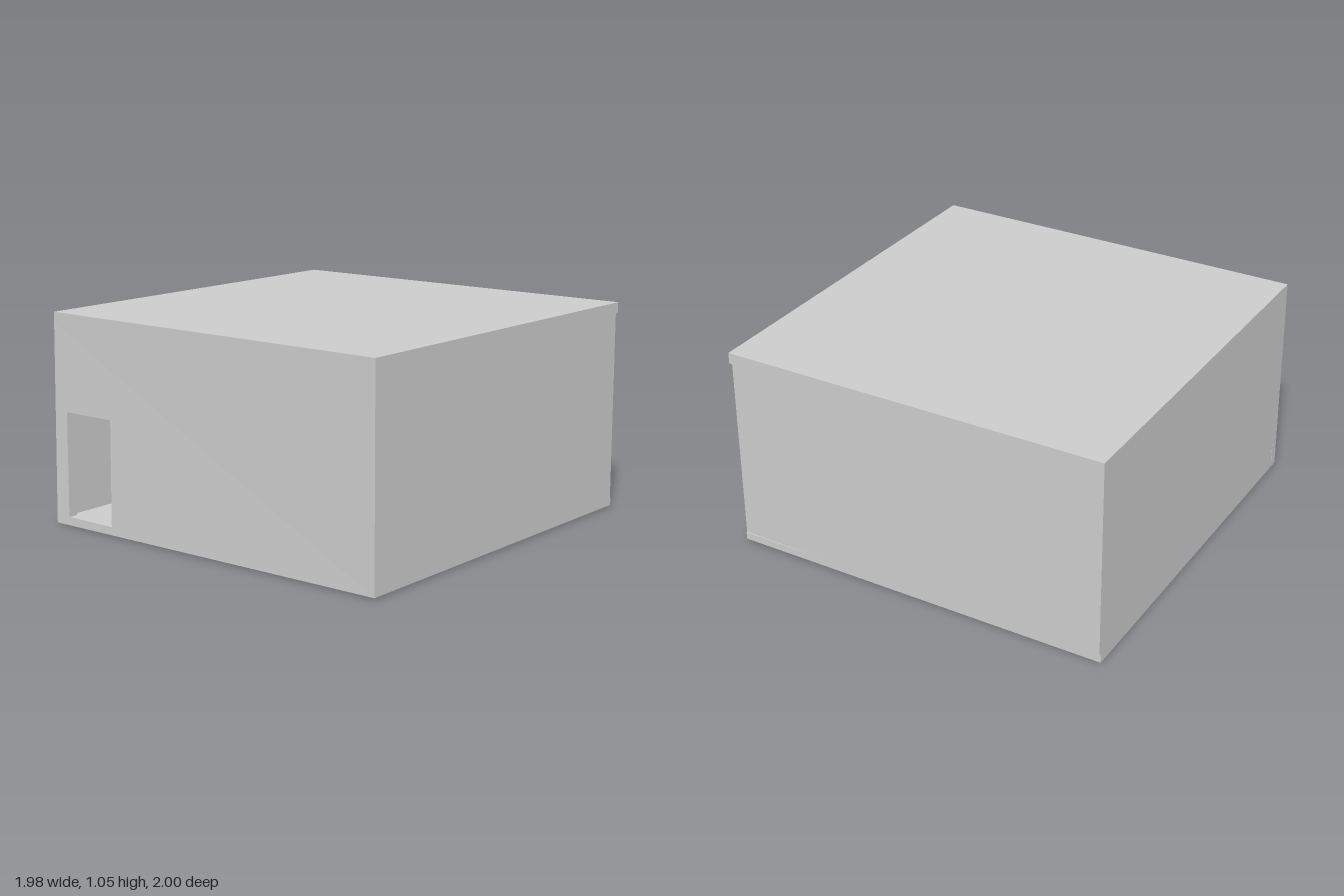
import * as THREE from 'three';

const material = new THREE.MeshStandardMaterial({ color: 0xcccccc, flatShading: true });
const L = -0.99, R = 0.985;      // outer side faces
const ROOF = 1.0, TOP = 1.055;   // roof underside and top
const FLOOR = 0.045;             // floor surface
const T = 0.05;                  // wall thickness

// Moves every vertex of a geometry by a rule
function warp(geometry, rule) {
  const p = geometry.attributes.position;
  const v = new THREE.Vector3();
  for (let i = 0; i < p.count; i++) {
    v.fromBufferAttribute(p, i);
    rule(v);
    p.setXYZ(i, v.x, v.y, v.z);
  }
  geometry.computeVertexNormals();
  return geometry;
}

// Box between two corners
function slab(x0, x1, y0, y1, z0, z1) {
  return new THREE.BoxGeometry(x1 - x0, y1 - y0, z1 - z0)
    .translate((x0 + x1) / 2, (y0 + y1) / 2, (z0 + z1) / 2);
}

export function createModel() {
  const group = new THREE.Group();
  const add = (name, geometry) => {
    const mesh = new THREE.Mesh(geometry, material);
    mesh.name = name;
    group.add(mesh);
  };
  const across = (x) => (x - L) / (R - L); // 0 at the -x side, 1 at the +x side

  // Floor slab, its underside rising slightly towards +x
  add('floor', warp(slab(L, R, 0, FLOOR, -0.985, 0.985), (v) => {
    if (v.y < 0.02) v.y = 0.008 * across(v.x);
  }));

  // Flat roof, overhanging the back wall
  add('roof', warp(slab(L, R, ROOF, TOP, -1, 0.98), (v) => {
    if (v.z > 0) v.z += 0.013 * across(v.x);
  }));

  // Side walls
  add('rightWall', slab(L, L + T + 0.01, FLOOR, ROOF, -0.96, 0.945));
  add('leftWall', slab(R - T, R, FLOOR, ROOF, -0.94, 0.945));

  // Back wall, set in at the +x end
  add('backWall', warp(slab(L, R, FLOOR, ROOF, -1, -1 + T), (v) => {
    v.z += 0.02 * across(v.x);
  }));

  // Front wall with the doorway, leaning slightly at the -x end
  const shape = new THREE.Shape([[L, 0.003], [R, 0.008], [R, ROOF], [L, ROOF]]
    .map(([x, y]) => new THREE.Vector2(x, y)));
  shape.holes.push(new THREE.Path([[-0.905, FLOOR], [-0.91, 0.57], [-0.61, 0.57], [-0.61, FLOOR]]
    .map(([x, y]) => new THREE.Vector2(x, y))));
  const front = new THREE.ExtrudeGeometry(shape, { depth: T, bevelEnabled: false });
  add('frontWall', warp(front.translate(0, 0, 0.993 - T), (v) => {
    v.z += (1 - across(v.x)) * (0.007 - 0.02 * v.y);
  }));

  return group;
}
